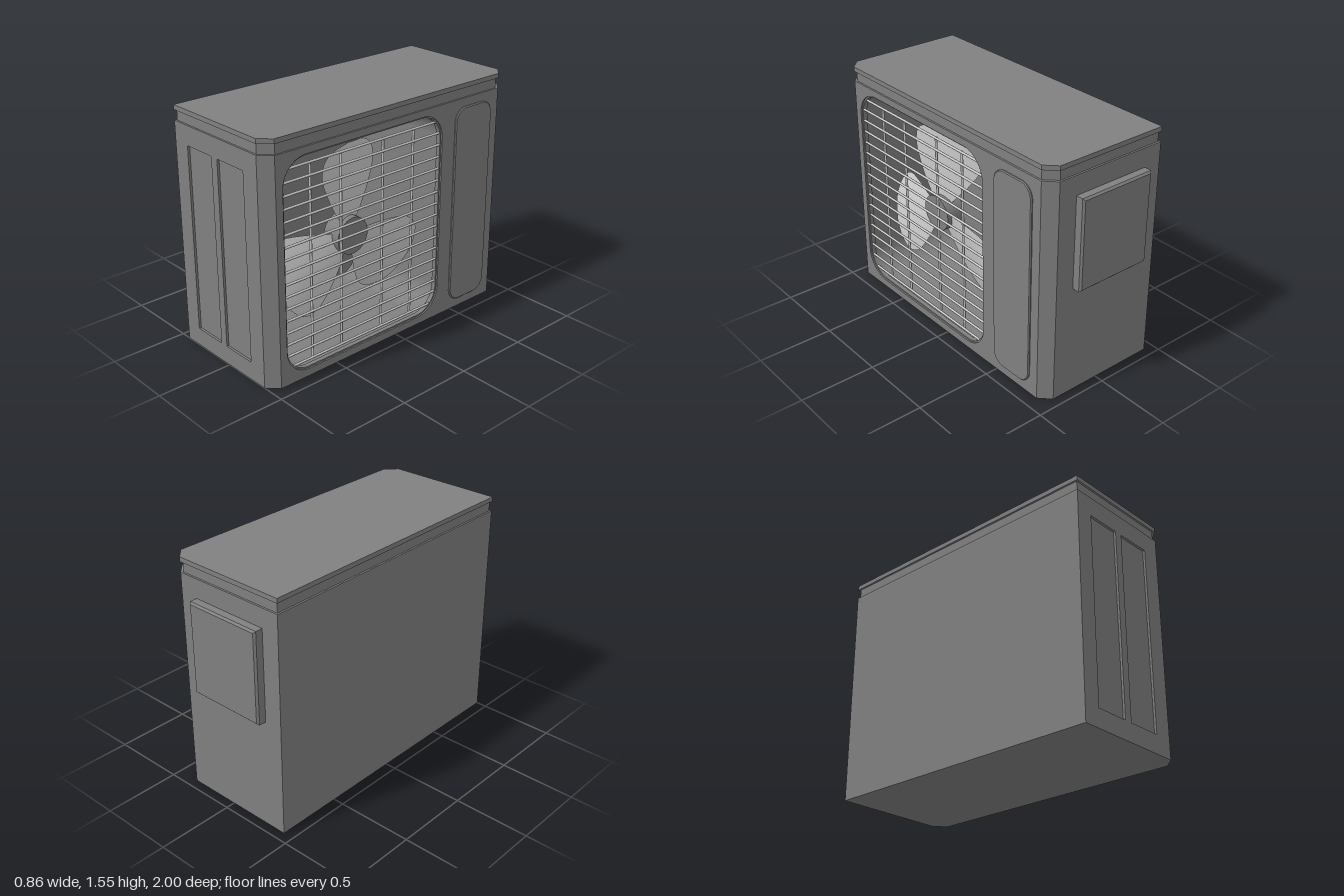
import * as THREE from 'three';
import { toCreasedNormals } from 'three/addons/utils/BufferGeometryUtils.js';

const casing = new THREE.MeshStandardMaterial({ color: 0x808080 });
const pale = new THREE.MeshStandardMaterial({ color: 0xcccccc });
const palePlate = new THREE.MeshStandardMaterial({ color: 0xcccccc, side: THREE.DoubleSide });

function add(parent, name, geometry, material = casing) {
  const mesh = new THREE.Mesh(geometry, material);
  mesh.name = name;
  parent.add(mesh);
  return mesh;
}

// Rounded rectangle between two corners; works for shapes and holes
function roundRect(x0, y0, x1, y1, r, Type = THREE.Shape) {
  const s = new Type();
  if (!r) {
    s.moveTo(x0, y0).lineTo(x1, y0).lineTo(x1, y1).lineTo(x0, y1).closePath();
    return s;
  }
  s.moveTo(x0 + r, y0);
  s.lineTo(x1 - r, y0).absarc(x1 - r, y0 + r, r, -Math.PI / 2, 0);
  s.lineTo(x1, y1 - r).absarc(x1 - r, y1 - r, r, 0, Math.PI / 2);
  s.lineTo(x0 + r, y1).absarc(x0 + r, y1 - r, r, Math.PI / 2, Math.PI);
  s.lineTo(x0, y0 + r).absarc(x0 + r, y0 + r, r, Math.PI, Math.PI * 1.5);
  return s;
}

// Extrusion with optional chamfer on its outer face only (the inner one is sunk)
function slab(shape, z0, z1, bevel = 0) {
  const g = new THREE.ExtrudeGeometry(shape, {
    depth: z1 - z0 - bevel, curveSegments: 12, bevelEnabled: bevel > 0,
    bevelThickness: bevel, bevelSize: bevel, bevelOffset: -bevel, bevelSegments: 1,
  });
  return toCreasedNormals(g.translate(0, 0, z0), 0.5);
}

// Vertical prism from a plan outline of [x, z] points
function prism(points, y0, y1) {
  const shape = new THREE.Shape(points.map(([x, z]) => new THREE.Vector2(x, -z)));
  return new THREE.ExtrudeGeometry(shape, { depth: y1 - y0, bevelEnabled: false })
    .rotateX(-Math.PI / 2).translate(0, y0, 0);
}

// Plan of the cabinet with two clipped corners, inset by d
function plan(d) {
  const b = -0.43 + d, f = 0.415 - d, n = -0.94 + d, p = 1 - d, c = 0.07;
  return [[b, n], [f - c, n], [f, n + c], [f, p - c], [f - c, p], [b, p]];
}

export function createModel() {
  const model = new THREE.Group();
  model.name = 'outdoorFanUnit';
  const H = 1.455, toX = Math.PI / 2;

  // Cabinet: fan tunnel block, rear wall and clipped ends
  const cabinet = new THREE.Group();
  cabinet.name = 'cabinet';
  model.add(cabinet);
  const face = roundRect(-0.93, 0, 0.87, H, 0);
  face.holes.push(roundRect(-0.88, 0.05, 0.37, 1.41, 0.17, THREE.Path));
  add(cabinet, 'fanHousing', slab(face, -0.36, 0.415).rotateY(toX));
  add(cabinet, 'rearWall', new THREE.BoxGeometry(0.07, H, 1.8).translate(-0.395, H / 2, 0.03));
  add(cabinet, 'plainEnd', prism([[-0.43, -0.94], [0.345, -0.94], [0.415, -0.87], [-0.43, -0.87]], 0, H));
  add(cabinet, 'panelledEnd',
    prism([[-0.43, 0.93], [0.415, 0.93], [0.345, 1], [0.345, 0.985], [-0.43, 0.985]], 0, H));

  // End skin with two sunken panels
  const skin = roundRect(-0.43, 0, 0.345, H, 0);
  for (const [a, b] of [[-0.31, -0.075], [-0.02, 0.22]])
    skin.holes.push(roundRect(a, 0.12, b, 1.33, 0, THREE.Path));
  add(cabinet, 'endSkin', slab(skin, 0.985, 1));

  // Lid above a shallow groove
  add(model, 'lidGroove', prism(plan(0.012), H, 1.52));
  add(model, 'lid', prism(plan(0), 1.52, 1.55));

  // Raised service panel beside the fan, and cover box on the plain end
  add(model, 'servicePanel', slab(roundRect(0.48, 0.06, 0.805, 1.4, 0.09), 0.41, 0.427, 0.006).rotateY(toX));
  add(model, 'coverBox', slab(roundRect(-0.22, 0.73, 0.31, 1.33, 0), 0.935, 1, 0.012).rotateY(Math.PI));

  // Lip just inside the fan opening
  const lip = roundRect(-0.88, 0.05, 0.37, 1.41, 0.17);
  lip.holes.push(roundRect(-0.87, 0.06, 0.36, 1.4, 0.16, THREE.Path));
  add(model, 'openingLip', slab(lip, 0.375, 0.405).rotateY(toX));

  // Grille: bars follow the rounded opening
  const grille = new THREE.Group();
  grille.name = 'grille';
  model.add(grille);
  for (let i = 0; i < 17; i++) {
    const y = 0.1 + i * 0.078;
    const e = Math.max(0, Math.abs(y - 0.73) - 0.51);
    const half = 0.455 + Math.sqrt(0.17 ** 2 - e ** 2);
    add(grille, 'crossBar', new THREE.CylinderGeometry(0.008, 0.008, half * 2, 8)
      .rotateX(Math.PI / 2).translate(0.395, y, 0.255), pale);
  }
  for (const z of [0.665, 0.435, 0.105, -0.145])
    add(grille, 'uprightBar', new THREE.CylinderGeometry(0.008, 0.008, 1.25, 8).translate(0.385, 0.725, z), pale);

  // Fan: hub and three pitched blades
  const fan = new THREE.Group();
  fan.name = 'fan';
  fan.position.set(0.25, 0.73, 0.255);
  fan.rotation.y = toX;
  model.add(fan);
  add(fan, 'hub', new THREE.CylinderGeometry(0.12, 0.12, 0.13, 32).rotateX(Math.PI / 2).translate(0, 0, -0.025));

  const edge = (pts) => new THREE.CatmullRomCurve3(pts.map(([x, y]) => new THREE.Vector3(x, y, 0)));
  const leading = edge([[-0.06, 0.08], [-0.12, 0.17], [-0.185, 0.3], [-0.222, 0.42], [-0.2, 0.52], [-0.12, 0.57], [0, 0.59]]);
  const trailing = edge([[0.06, 0.06], [0.11, 0.12], [0.21, 0.24], [0.29, 0.38], [0.28, 0.47], [0.18, 0.56], [0, 0.59]]);
  const bladeGeo = new THREE.PlaneGeometry(1, 1, 12, 28);
  const pos = bladeGeo.attributes.position;
  for (let i = 0; i < pos.count; i++) {
    const v = pos.getY(i) + 0.5;
    const p = leading.getPoint(v).lerp(trailing.getPoint(v), pos.getX(i) + 0.5);
    pos.setXYZ(i, p.x, p.y, -0.2 * p.x - 0.5 * p.x * p.x);
  }
  bladeGeo.computeVertexNormals();
  for (let i = 0; i < 3; i++)
    add(fan, 'blade', bladeGeo, palePlate).rotation.z = (i * Math.PI * 2) / 3;

  return model;
}
